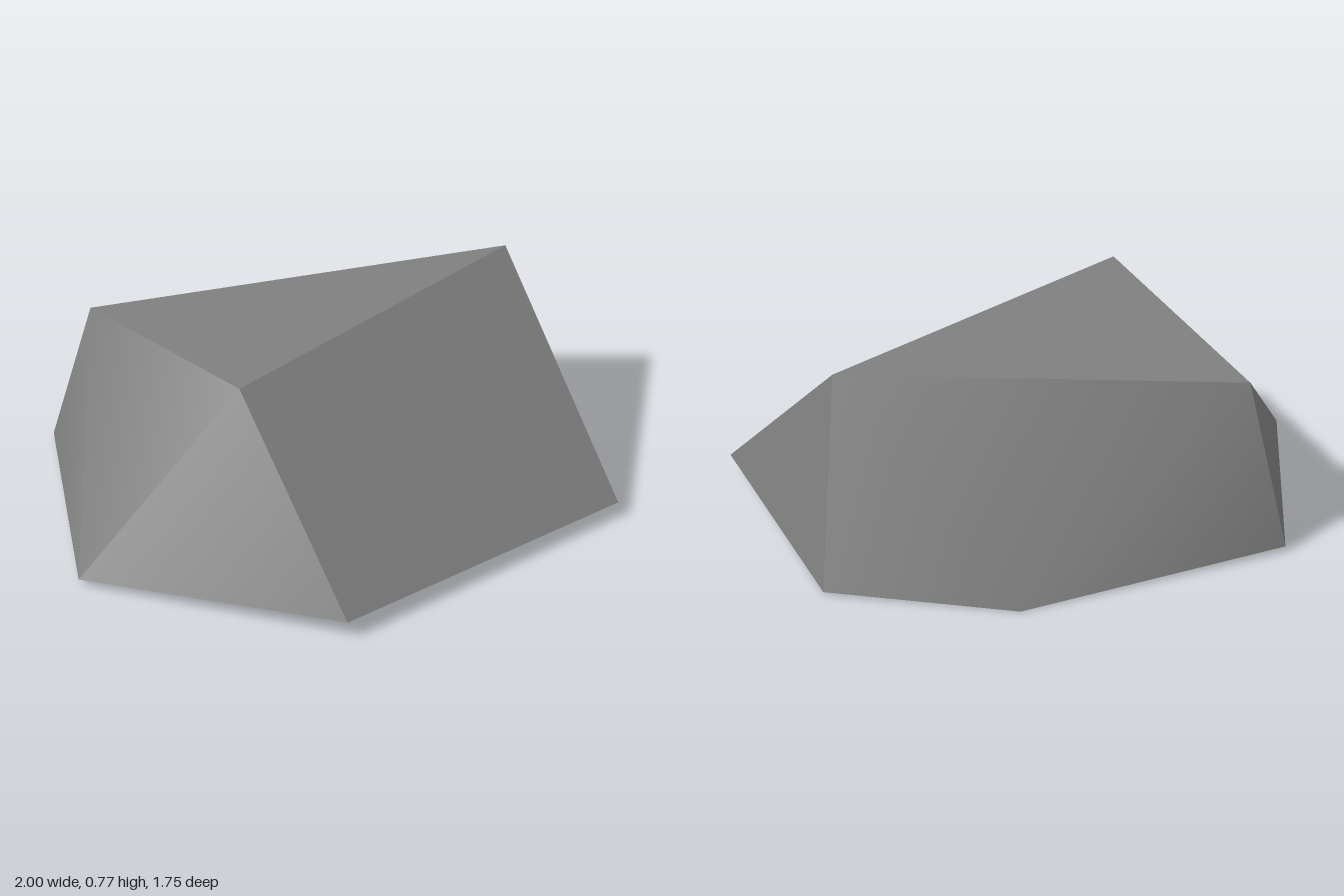
import * as THREE from 'three';
import { toCreasedNormals } from 'three/addons/utils/BufferGeometryUtils.js';

export function createModel() {
  const group = new THREE.Group();
  group.name = 'rock';

  const stone = new THREE.MeshStandardMaterial({ color: 0x808080, side: THREE.DoubleSide });
  stone.name = 'grey stone';

  // Three crown corners, then six rim corners running round the open base
  const corners = {
    A: [-0.40, 0.775, 0.33], B: [0.71, 0.755, -0.39], C: [-0.81, 0.645, -0.43],
    D: [-0.10, 0.075, 0.87], E: [1.00, 0.06, 0.30], F: [0.775, 0.01, -0.665],
    G: [0.08, 0.0, -0.875], H: [-0.925, 0.02, -0.54], I: [-1.00, 0.03, 0.375],
  };

  // Facets, counter-clockwise from outside; the underside stays open
  const facets = [
    'ABC',               // top
    'ADE', 'AEB',        // front
    'BEF',               // left side
    'BFG', 'CBG', 'CGH', // back
    'ICH', 'IAC', 'IDA', // right side
  ];

  const positions = facets.flatMap((facet) => [...facet].flatMap((key) => corners[key]));
  const geometry = new THREE.BufferGeometry();
  geometry.setAttribute('position', new THREE.Float32BufferAttribute(positions, 3));

  // Soft shading across shallow folds, sharp elsewhere
  const boulder = new THREE.Mesh(toCreasedNormals(geometry, THREE.MathUtils.degToRad(40)), stone);
  boulder.name = 'boulder';
  group.add(boulder);
  return group;
}
